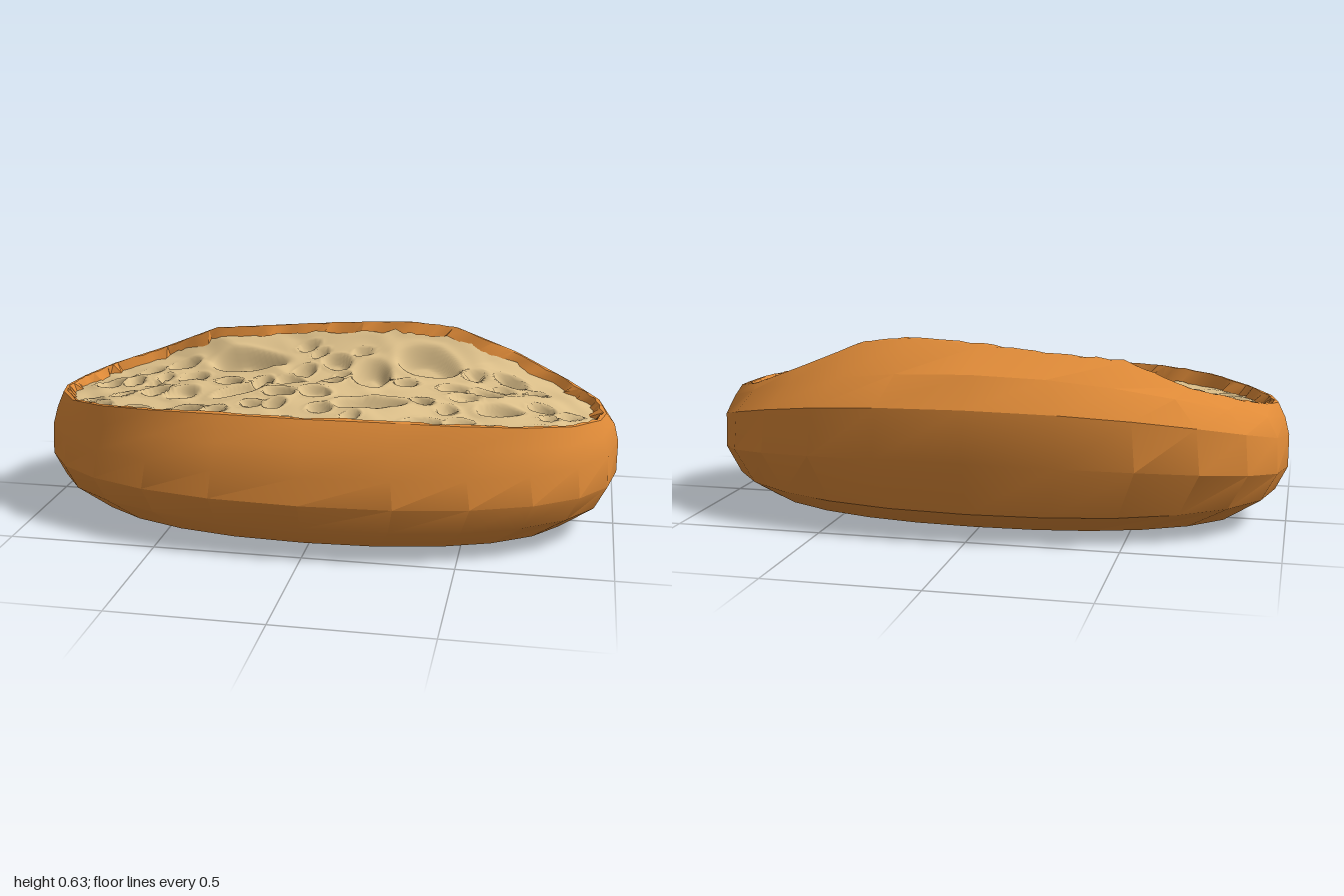
import * as THREE from 'three';
import { toCreasedNormals } from 'three/addons/utils/BufferGeometryUtils.js';

// Small seeded generator
let seed = 11;
const rand = () => {
  seed = (seed * 16807) % 2147483647;
  return seed / 2147483647;
};

// Cut edge of the crust (x, y, z), one point every 15 degrees from +x towards +z
const RIM = [
  [0.955, 0.405, 0.03], [0.935, 0.41, 0.13], [0.85, 0.42, 0.25], [0.7, 0.44, 0.36],
  [0.5, 0.455, 0.43], [0.27, 0.46, 0.45], [0, 0.46, 0.46], [-0.28, 0.46, 0.455],
  [-0.52, 0.455, 0.435], [-0.71, 0.44, 0.37], [-0.85, 0.42, 0.26], [-0.935, 0.41, 0.13],
  [-0.96, 0.405, 0.03], [-0.93, 0.415, -0.07], [-0.85, 0.44, -0.17], [-0.68, 0.49, -0.25],
  [-0.48, 0.57, -0.26], [-0.22, 0.59, -0.28], [0, 0.61, -0.27], [0.25, 0.625, -0.26],
  [0.42, 0.605, -0.28], [0.63, 0.52, -0.305], [0.82, 0.445, -0.23], [0.93, 0.415, -0.1],
];
const COLS = RIM.length;

// Wall profiles, bottom to top: [scale of the outline, height]
const FRONT = [[0.5, 0], [0.8, 0.03], [0.945, 0.11], [1, 0.2], [0.97, 0.29], [0.93, 0.38]];
const END = [[0.65, 0], [0.85, 0.03], [0.96, 0.11], [1, 0.19], [1, 0.3], [0.985, 0.36]];
const BACK = [[0.4, 0], [0.67, 0.017], [0.88, 0.09], [1, 0.27], [0.97, 0.44], [0.82, 0.54]];

const CENTRE = [0, 0.457, 0.08];
const mix = THREE.MathUtils.lerp;
const smooth = THREE.MathUtils.smoothstep;

// Skin closed rings of equal length, listed from the outside bottom up and inwards
function loft(rings) {
  const n = rings[0].length;
  const index = [];
  for (let k = 0; k < rings.length - 1; k++) {
    for (let i = 0; i < n; i++) {
      const j = (i + 1) % n;
      const a = k * n + i, b = k * n + j, c = a + n, d = b + n;
      index.push(a, c, b, b, c, d);
    }
  }
  const g = new THREE.BufferGeometry();
  g.setAttribute('position', new THREE.Float32BufferAttribute(rings.flat(2), 3));
  g.setIndex(index);
  g.computeVertexNormals();
  return g;
}

// Points along the straight segments of the rim, subdivided
function rimPoints(sub) {
  const out = [];
  for (let i = 0; i < COLS * sub; i++) {
    const a = RIM[Math.floor(i / sub)];
    const b = RIM[(Math.floor(i / sub) + 1) % COLS];
    out.push(a.map((v, k) => mix(v, b[k], (i % sub) / sub)));
  }
  return out;
}

// Move a rim point towards the middle and up
function inset([x, y, z], d, dy) {
  const dx = CENTRE[0] - x, dz = CENTRE[2] - z;
  const l = Math.hypot(dx, dz);
  return [x + (dx / l) * d, y + dy, z + (dz / l) * d];
}

// Share of the front in a point: 0 at the ends and back, 1 at the front edge
const frontShare = (z) => THREE.MathUtils.clamp(z / 0.45, 0, 1);

function crustGeometry() {
  const rings = [RIM.map(() => [0, 0, 0])];
  for (let k = 0; k < FRONT.length; k++) {
    rings.push(RIM.map((_, i) => {
      const a = (i / COLS) * Math.PI * 2;
      const c = Math.cos(a), s = Math.sin(a);
      const w = Math.abs(s) ** 1.4;
      const side = s > 0 ? FRONT : BACK;
      const scale = mix(END[k][0], side[k][0], w);
      const y = mix(END[k][1], side[k][1], w);
      const x = Math.sign(c) * Math.abs(c) ** 0.89;
      const z = 0.555 * Math.sign(s) * Math.abs(s) ** 0.89;
      return [x * scale, y, z * scale];
    }));
  }
  rings.push(RIM);
  return toCreasedNormals(loft(rings), 0.5);
}

// Ragged torn edge folding from the rim into the crumb
function lipGeometry() {
  const pts = rimPoints(6);
  const crest = pts.map((p) => inset(p, 0.01 + rand() * 0.008, rand() * 0.006));
  const inner = pts.map((p) => inset(p, 0.02 + rand() * 0.035, -0.02 - rand() * 0.02 - 0.02 * frontShare(p[2])));
  return toCreasedNormals(loft([pts, crest, inner]), 0.5);
}

// Air pockets: [x, z, half length, half width, turn, depth]
function airPockets() {
  const list = [
    [-0.32, -0.13, 0.15, 0.06, 0.1, 0.06], [0.14, -0.05, 0.07, 0.09, 0, 0.06],
    [0.17, 0.17, 0.13, 0.05, -0.25, 0.05], [0.33, -0.16, 0.12, 0.065, -0.1, 0.06],
    [-0.3, 0.1, 0.1, 0.04, -0.5, 0.03], [-0.45, 0.25, 0.06, 0.035, 0.2, 0.04],
    [-0.57, -0.15, 0.06, 0.04, -0.3, 0.04], [0.6, 0.1, 0.08, 0.05, -0.3, 0.045],
    [0.36, 0.26, 0.07, 0.04, -0.4, 0.04], [-0.28, 0.37, 0.07, 0.04, 0.1, 0.045],
    [-0.63, 0.24, 0.05, 0.035, 0.4, 0.04], [0.62, -0.17, 0.06, 0.035, 0.3, 0.04],
  ];
  for (let tries = 0; tries < 900 && list.length < 66; tries++) {
    const a = rand() * Math.PI * 2, r = Math.sqrt(rand());
    const x = Math.cos(a) * r * 0.9, z = 0.09 + Math.sin(a) * r * 0.33;
    const size = 0.022 + rand() * 0.022;
    const free = list.every((p) => Math.hypot((x - p[0]) / (p[2] + size), (z - p[1]) / (p[3] + size)) > 1.05);
    if (free) list.push([x, z, size * 1.4, size, rand() * 1.6 - 1.1, 0.022 + rand() * 0.02]);
  }
  return list;
}

function crumbGeometry() {
  const pockets = airPockets();
  const relief = (x, z) => {
    // soft waves of the torn crumb
    let h = 0.005 * Math.sin(x * 13 + z * 17 + 2 * Math.sin(z * 9))
      + 0.003 * Math.sin(z * 41 - x * 15 + Math.sin(x * 19) * 2);
    for (const [px, pz, l, w, t, d] of pockets) {
      const dx = x - px, dz = z - pz;
      if (Math.abs(dx) > 0.25 || Math.abs(dz) > 0.25) continue;
      const u = (dx * Math.cos(t) + dz * Math.sin(t)) / l;
      const v = (dz * Math.cos(t) - dx * Math.sin(t)) / w;
      const r = Math.hypot(u, v);
      h -= d * (1 - smooth(r, 0.6, 1));
      h += 0.004 * Math.exp(-(((r - 1.1) / 0.15) ** 2));
    }
    return h;
  };
  const edge = rimPoints(12).map((p) => inset(p, 0.01, -0.026 - 0.022 * frontShare(p[2])));
  const rings = [];
  const steps = 64;
  for (let k = 0; k <= steps; k++) {
    const v = 1 - k / steps;
    rings.push(edge.map(([x, y, z]) => {
      const px = mix(CENTRE[0], x, v), pz = mix(CENTRE[2], z, v);
      const bend = mix(v * v, smooth(v, 0, 0.75), frontShare(z));
      const fade = Math.min(1, (1 - v) * 14);
      return [px, mix(CENTRE[1], y, bend) + relief(px, pz) * fade, pz];
    }));
  }
  return loft(rings);
}

export function createModel() {
  seed = 11;
  const crust = new THREE.MeshStandardMaterial({ color: 0xe08b38 });
  crust.name = 'crust orange';
  crust.side = THREE.DoubleSide;
  const crumb = new THREE.MeshStandardMaterial({ color: 0xddc08a });
  crumb.name = 'crumb cream';

  const model = new THREE.Group();
  model.name = 'cutLoaf';
  const add = (name, geometry, material) => {
    const mesh = new THREE.Mesh(geometry, material);
    mesh.name = name;
    model.add(mesh);
  };
  add('crust', crustGeometry(), crust);
  add('crustLip', lipGeometry(), crust);
  add('crumb', crumbGeometry(), crumb);
  return model;
}
